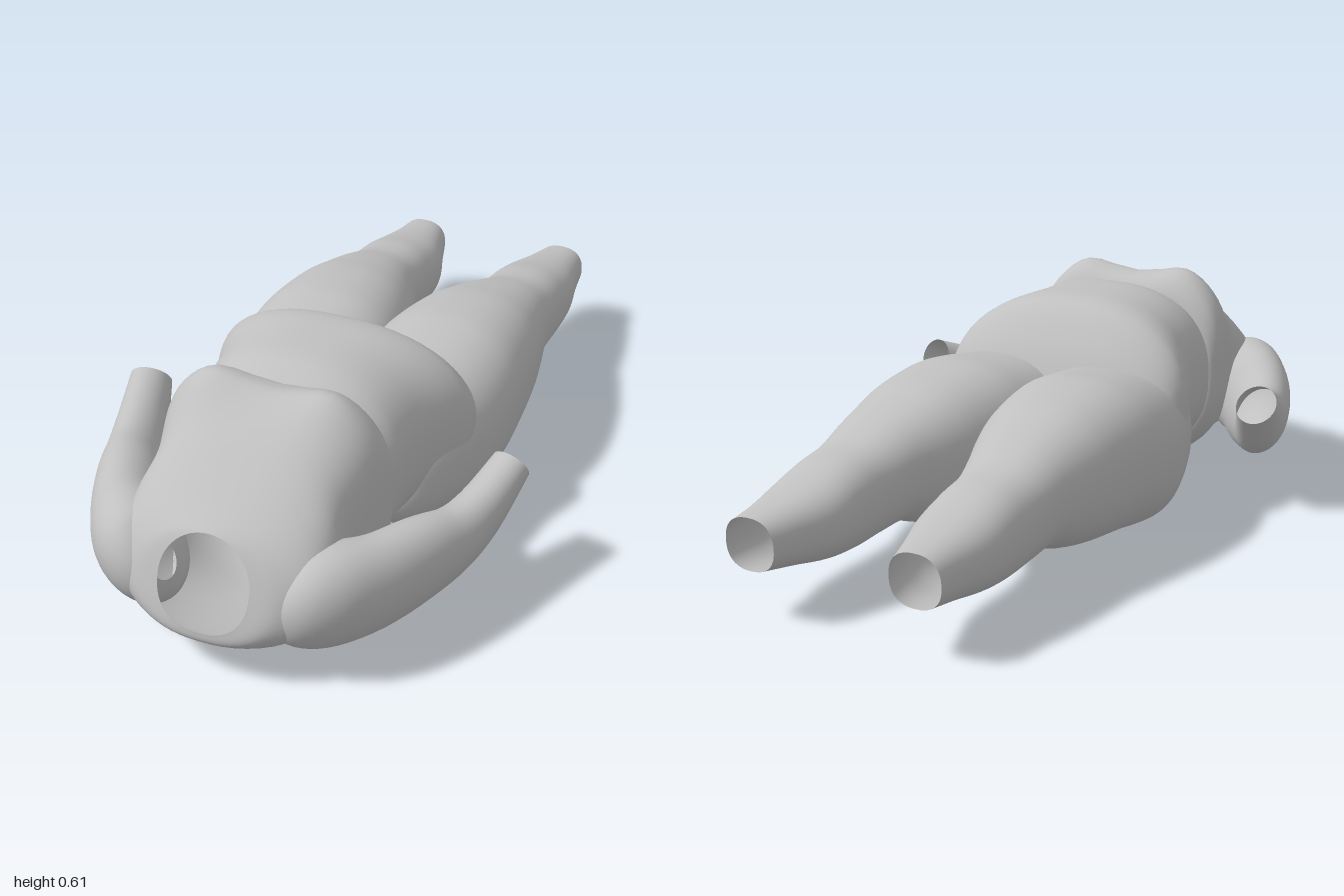
import * as THREE from 'three';

const skin = new THREE.MeshStandardMaterial({ color: 0xc0c0c0, side: THREE.DoubleSide });
skin.name = 'plain grey';

const SIDES = 56;
const STEPS = 6;

// Smooth curve through b and c, with neighbours a and d
function blend(a, b, c, d, t) {
  const cubic = 3 * (b - c) + d - a;
  const square = 2 * a - 5 * b + 4 * c - d;
  return b + 0.5 * t * (c - a + t * (square + t * cubic));
}

// Smoothly interpolate every column of a table of key cross-sections
function interpolate(keys) {
  const rows = [];
  const last = keys.length - 1;
  for (let i = 0; i < last; i++) {
    const [a, b, c, d] = [i - 1, i, i + 1, i + 2].map(k => keys[Math.min(last, Math.max(0, k))]);
    for (let s = 0; s < STEPS; s++) {
      rows.push(b.map((value, k) => blend(a[k], value, c[k], d[k], s / STEPS)));
    }
  }
  rows.push(keys[last]);
  return rows;
}

// Skin a run of closed rings; ring(row, index, rows, angle) gives one point
function loft(name, keys, ring) {
  const rows = interpolate(keys);
  const position = [];
  const index = [];
  rows.forEach((row, i) => {
    for (let j = 0; j < SIDES; j++) {
      position.push(...ring(row, i, rows, (j / SIDES) * Math.PI * 2));
      if (i === rows.length - 1) continue;
      const a = i * SIDES + j;
      const b = i * SIDES + (j + 1) % SIDES;
      index.push(a, a + SIDES, b, b, a + SIDES, b + SIDES);
    }
  });
  const geometry = new THREE.BufferGeometry();
  geometry.setAttribute('position', new THREE.Float32BufferAttribute(position, 3));
  geometry.setIndex(index);
  geometry.computeVertexNormals();
  const mesh = new THREE.Mesh(geometry, skin);
  mesh.name = name;
  return mesh;
}

const rounded = (v, n) => Math.sign(v) * Math.pow(Math.abs(v), 2 / n);

// Section across z, row: z, xMin, xMax, top, bottom, lean, roundness of upper half
function bodyRing([z, x0, x1, top, bottom, lean, n], i, rows, angle) {
  const s = Math.sin(angle);
  const m = s > 0 ? n : 2.4;
  const x = (x0 + x1) / 2 + rounded(Math.cos(angle), m) * (x1 - x0) / 2;
  const dy = rounded(s, m) * (top - bottom) / 2;
  return [x, (top + bottom) / 2 + dy, z - lean * dy];
}

// Chest section with two soft swellings on the upper side
function chestRing(row, i, rows, angle) {
  const [x, y, z] = bodyRing(row, i, rows, angle);
  const u = (Math.abs(x) - 0.16) / 0.085;
  const v = (z - 0.57) / 0.08;
  const swell = Math.sin(angle) > 0 ? 0.032 * Math.exp(-u * u - v * v) : 0;
  return [x, y + swell, z];
}

// Section square to the arm's path, row: x, y, z, half width, half height
function armRing([x, y, z, w, h], i, rows, angle) {
  const a = rows[Math.max(0, i - 1)];
  const b = rows[Math.min(rows.length - 1, i + 1)];
  const along = new THREE.Vector3(b[0] - a[0], b[1] - a[1], b[2] - a[2]).normalize();
  const across = new THREE.Vector3(-along.z, 0, along.x).normalize();
  const up = new THREE.Vector3().crossVectors(across, along);
  const p = new THREE.Vector3(x, y, z)
    .addScaledVector(across, w * Math.cos(angle))
    .addScaledVector(up, h * Math.sin(angle));
  p.x += 0.15 * h * Math.sin(angle);
  return p.toArray();
}

// Symmetric row for the trunk
const wide = (z, w, top, bottom, lean = 0, n = 2.4) => [z, -w, w, top, bottom, lean, n];

export function createModel() {
  const group = new THREE.Group();
  group.name = 'recliningFigure';

  // Chest and upper back, open at the neck
  group.add(loft('chest', [
    wide(0.95, 0.12, 0.385, 0.155, 0.36, 2),
    wide(0.94, 0.19, 0.395, 0.125, 0.34, 2),
    wide(0.89, 0.26, 0.42, 0.09, 0.22, 2.2),
    wide(0.8, 0.275, 0.47, 0.06, 0.08, 2.6),
    wide(0.7, 0.265, 0.53, 0.04, 0, 3),
    wide(0.6, 0.288, 0.582, 0.03, 0, 3.5),
    wide(0.54, 0.297, 0.58, 0.038, 0, 3.5),
    wide(0.505, 0.29, 0.56, 0.055, 0, 3.2),
    wide(0.485, 0.265, 0.52, 0.075, 0, 3),
    wide(0.475, 0.2, 0.45, 0.12, 0, 2.6),
  ], chestRing));

  // Belly and waist, rounded off over the thighs
  group.add(loft('belly', [
    wide(0.57, 0.2, 0.45, 0.12),
    wide(0.51, 0.265, 0.54, 0.085),
    wide(0.46, 0.288, 0.573, 0.078),
    wide(0.4, 0.293, 0.59, 0.078),
    wide(0.3, 0.31, 0.592, 0.07),
    wide(0.2, 0.35, 0.587, 0.06),
    wide(0.14, 0.365, 0.56, 0.07),
    wide(0.08, 0.345, 0.49, 0.1),
    wide(0.04, 0.28, 0.42, 0.14),
    wide(0.01, 0.14, 0.34, 0.2),
    wide(0, 0.01, 0.28, 0.27),
  ], bodyRing));

  // Hip, thigh and calf, open at the ankle
  const legKeys = [
    [0.37, 0.15, 0.17, 0.23, 0.21],
    [0.35, 0.06, 0.25, 0.3, 0.12],
    [0.3, 0.0, 0.31, 0.36, 0.068],
    [0.2, -0.04, 0.355, 0.42, 0.03],
    [0.07, -0.06, 0.392, 0.435, 0.004],
    [-0.05, -0.05, 0.405, 0.452, 0.022],
    [-0.15, -0.04, 0.403, 0.46, 0.04],
    [-0.3, -0.01, 0.388, 0.445, 0.06],
    [-0.4, 0.02, 0.37, 0.42, 0.082],
    [-0.5, 0.06, 0.35, 0.39, 0.115],
    [-0.6, 0.085, 0.338, 0.355, 0.108],
    [-0.7, 0.092, 0.335, 0.338, 0.102],
    [-0.8, 0.1, 0.33, 0.31, 0.11],
    [-0.9, 0.132, 0.312, 0.288, 0.127],
    [-0.99, 0.16, 0.3, 0.275, 0.14],
  ].map(k => [...k, 0.03, 2.4]);

  // Shoulder, upper arm and forearm, open at the wrist
  const armKeys = [
    [0.15, 0.245, 0.88, 0.04, 0.05],
    [0.185, 0.235, 0.865, 0.095, 0.115],
    [0.245, 0.22, 0.82, 0.112, 0.14],
    [0.32, 0.21, 0.73, 0.1, 0.138],
    [0.385, 0.212, 0.61, 0.092, 0.128],
    [0.44, 0.217, 0.5, 0.076, 0.105],
    [0.477, 0.25, 0.4, 0.066, 0.085],
    [0.515, 0.325, 0.275, 0.054, 0.054],
  ];

  for (const side of [1, -1]) {
    const label = side > 0 ? 'left' : 'right';
    const leg = loft(label + 'Leg', legKeys, bodyRing);
    const arm = loft(label + 'Arm', armKeys, armRing);
    leg.scale.x = arm.scale.x = side;
    group.add(leg, arm);
  }
  return group;
}
